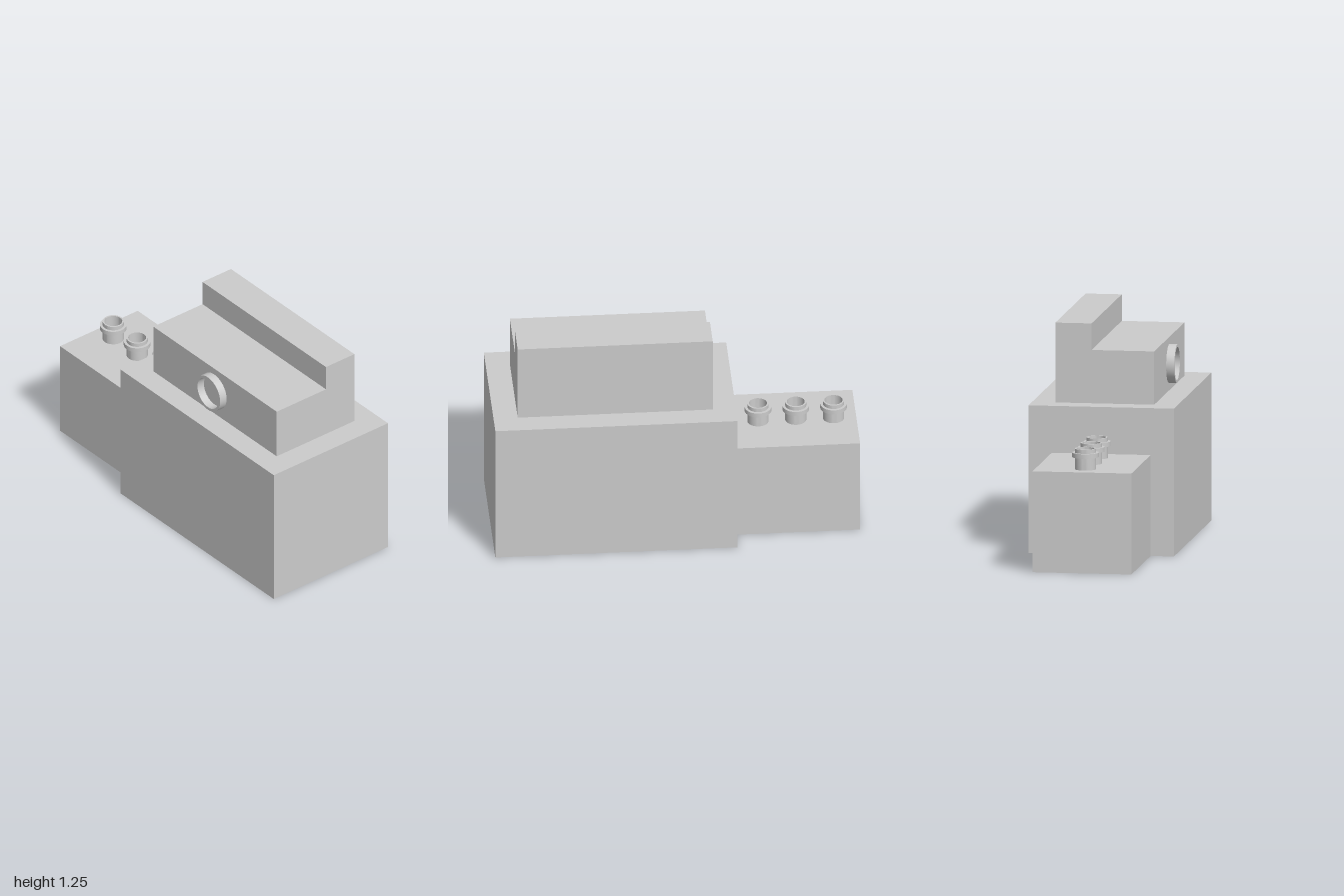
import * as THREE from 'three';
import { toCreasedNormals } from 'three/addons/utils/BufferGeometryUtils.js';

const material = new THREE.MeshStandardMaterial({ color: 0xcccccc, side: THREE.DoubleSide });

function add(parent, name, geometry) {
  const mesh = new THREE.Mesh(geometry, material);
  mesh.name = name;
  parent.add(mesh);
  return mesh;
}

// Box standing on the ground with no underside
function openBox(width, height, z0, z1) {
  const geo = new THREE.BoxGeometry(width, height, z1 - z0);
  const index = Array.from(geo.index.array);
  index.splice(18, 6); // drop the bottom face
  geo.setIndex(index);
  geo.clearGroups();
  return geo.translate(0, height / 2, (z0 + z1) / 2);
}

// Turned part from [radius, height] pairs, with sharp rims
function turned(points) {
  const profile = points.map(([r, y]) => new THREE.Vector2(r, y));
  return toCreasedNormals(new THREE.LatheGeometry(profile, 40), 0.6);
}

export function createModel() {
  const model = new THREE.Group();
  model.name = 'building';

  // Main block and lower rear annex
  add(model, 'mainBlock', openBox(0.8, 0.813, -0.322, 1));
  add(model, 'rearAnnex', openBox(0.544, 0.555, -1, -0.322));

  // Stepped upper storey, taller along the left side
  const step = new THREE.Shape([
    [-0.272, 0.813], [0.272, 0.813], [0.272, 1.252],
    [0.073, 1.252], [0.073, 1.106], [-0.272, 1.106],
  ].map(([x, y]) => new THREE.Vector2(x, y)));
  const upper = new THREE.ExtrudeGeometry(step, { depth: 1.064, bevelEnabled: false });
  add(model, 'upperStorey', upper.translate(0, 0, -0.196));

  // Round window frame on the right wall
  const frame = turned([[0.09, 0], [0.09, 0.045], [0.106, 0.045], [0.106, 0]]);
  const ring = add(model, 'roundWindowFrame', frame);
  ring.rotation.z = Math.PI / 2;
  ring.position.set(-0.272, 0.962, 0.33);

  // Three collared chimney pipes on the annex roof
  const pipe = turned([
    [0.058, 0], [0.058, 0.067], [0.073, 0.067], [0.073, 0.092],
    [0.058, 0.092], [0.058, 0.114], [0.049, 0.114], [0.049, 0],
  ]);
  for (const z of [-0.876, -0.67, -0.464]) {
    add(model, 'chimneyPipe', pipe).position.set(0, 0.555, z);
  }

  return model;
}
